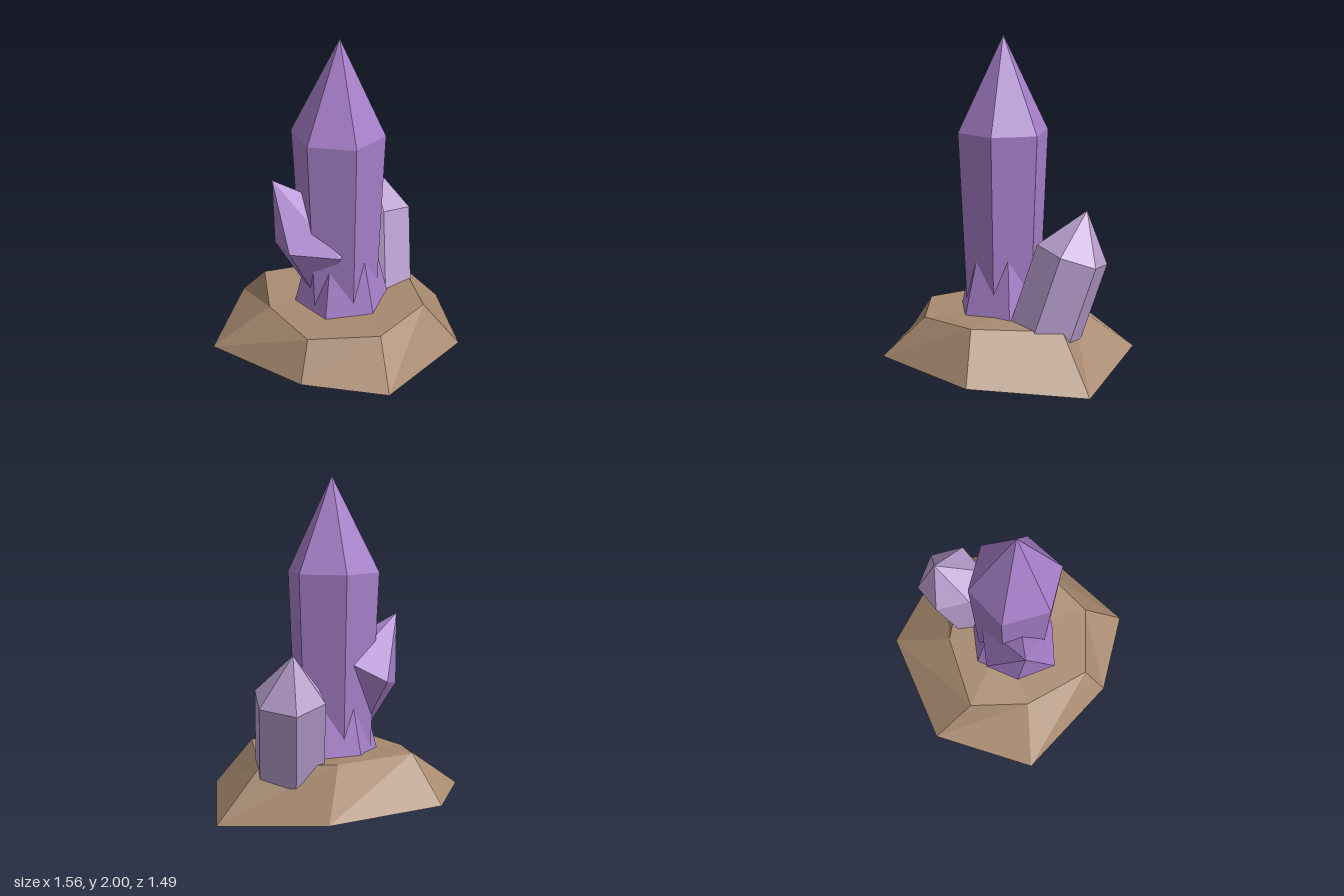
import * as THREE from 'three';

const mat = (name, color) => {
  const m = new THREE.MeshStandardMaterial({ color, flatShading: true });
  m.name = name;
  return m;
};

// Closed solid through rings (bottom to top, each running from +x towards +z), ended by two points
function loft(name, rings, bottom, top, material) {
  const pos = [];
  const tri = (...pts) => pts.forEach((p) => pos.push(...p));
  const n = rings[0].length;
  for (let i = 0; i < n; i++) {
    const j = (i + 1) % n;
    tri(bottom, rings[0][i], rings[0][j]);
    for (let r = 0; r + 1 < rings.length; r++) {
      const a = rings[r], b = rings[r + 1];
      tri(a[i], b[i], a[j]);
      tri(a[j], b[i], b[j]);
    }
    const last = rings[rings.length - 1];
    tri(last[i], top, last[j]);
  }
  const geo = new THREE.BufferGeometry();
  geo.setAttribute('position', new THREE.Float32BufferAttribute(pos, 3));
  geo.computeVertexNormals();
  const mesh = new THREE.Mesh(geo, material);
  mesh.name = name;
  return mesh;
}

export function createModel() {
  const group = new THREE.Group();
  group.name = 'crystalCluster';
  const rock = mat('brown rock', 0xa88a70);
  const purple = mat('purple crystal', 0xa77fca);
  const lilac = mat('pale lilac crystal', 0xbba0d0);

  // Irregular seven-sided rock
  const rockFoot = [
    [0.78, 0.01, 0.03], [0.39, 0.08, 0.61], [-0.32, 0.09, 0.74], [-0.65, 0.105, 0.34],
    [-0.78, 0.075, -0.36], [-0.26, 0.115, -0.75], [0.45, 0.1, -0.59],
  ];
  const rockTop = [
    [0.49, 0.32, 0], [0.22, 0.355, 0.46], [-0.19, 0.33, 0.52], [-0.53, 0.325, 0.26],
    [-0.48, 0.33, -0.17], [-0.28, 0.37, -0.48], [0.17, 0.345, -0.33],
  ];
  group.add(loft('rockBase', [rockFoot, rockTop], [0, 0.08, 0], [0, 0.335, 0], rock));

  // Tall central crystal, tapering towards its foot
  const shoulder = [
    [0.21, 1.43, -0.02], [0.1, 1.43, 0.23], [-0.17, 1.43, 0.28],
    [-0.35, 1.43, 0.06], [-0.25, 1.43, -0.21], [0.03, 1.43, -0.24],
  ];
  const foot = shoulder.map(([x, , z]) => [-0.07 + (x + 0.07) * 0.81, 0.2, 0.02 + (z - 0.02) * 0.81]);
  group.add(loft('mainCrystal', [foot, shoulder], [0, 0, 0.04], [-0.07, 2, 0.02], purple));

  // Pointed collar: a hexagonal cone whose corners break through the main crystal
  const collar = [];
  for (let i = 0; i < 6; i++) {
    const a = Math.PI / 6 + (i * Math.PI) / 3;
    collar.push([-0.06 + 0.325 * Math.cos(a), 0.2, 0.02 + 0.325 * Math.sin(a)]);
  }
  group.add(loft('crystalCollar', [collar], [-0.06, 0.15, 0.02], [-0.06, 1.5, 0.02], purple));

  // Leaning pale crystal
  const paleShoulder = [
    [0.6, 0.7, -0.15], [0.5, 0.77, 0.03], [0.28, 0.805, 0.03],
    [0.17, 0.77, -0.15], [0.27, 0.72, -0.34], [0.48, 0.67, -0.34],
  ];
  const paleFoot = paleShoulder.map(([x, y, z]) => [x - 0.12, y - 0.63, z + 0.165]);
  group.add(loft('paleCrystal', [paleFoot, paleShoulder], [0.265, 0.11, 0.01], [0.42, 1, -0.23], lilac));

  // Stubby double-pointed crystal growing out of the main one
  const sideRing = [
    [0, 0.9, 0.08], [-0.22, 0.72, 0.2], [-0.47, 0.77, 0.03],
    [-0.4, 0.74, -0.2], [-0.23, 0.78, -0.31], [-0.03, 0.9, -0.2],
  ];
  group.add(loft('sideCrystal', [sideRing], [-0.2, 0.32, -0.03], [-0.43, 1.17, -0.17], purple));

  return group;
}
